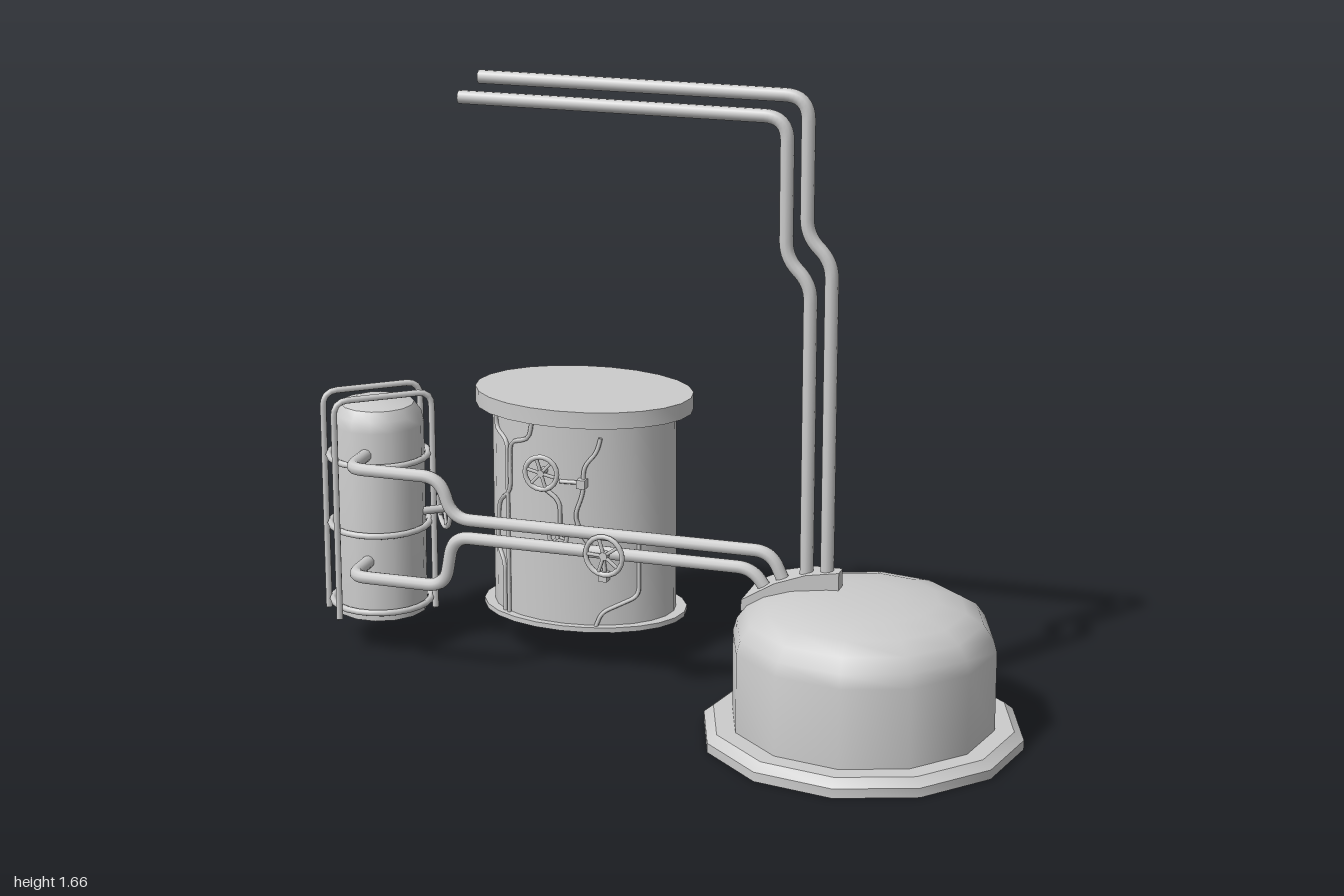
import * as THREE from 'three';
import { toCreasedNormals } from 'three/addons/utils/BufferGeometryUtils.js';

const grey = new THREE.MeshStandardMaterial({ color: 0xcccccc });
const greyThin = new THREE.MeshStandardMaterial({ color: 0xcccccc, side: THREE.DoubleSide });
const V = (p) => new THREE.Vector3(...p);

function mesh(name, geometry, parent, material = grey) {
  const m = new THREE.Mesh(geometry, material);
  m.name = name;
  parent.add(m);
  return m;
}

// Turned body from [radius, height] pairs listed bottom to top
function turned(name, profile, sides, parent, material) {
  const pts = profile.map(([r, y]) => new THREE.Vector2(r, y));
  return mesh(name, toCreasedNormals(new THREE.LatheGeometry(pts, sides), 0.62), parent, material);
}

// Capped tube along a polyline with rounded corners
function pipe(name, points, radius, bend, parent, segments = 120, sides = 10) {
  const p = points.map(V);
  const path = new THREE.CurvePath();
  let from = p[0];
  for (let i = 1; i < p.length - 1; i++) {
    const toPrev = p[i - 1].clone().sub(p[i]), toNext = p[i + 1].clone().sub(p[i]);
    const d = Math.min(bend, toPrev.length() * 0.45, toNext.length() * 0.45);
    const a = p[i].clone().add(toPrev.setLength(d));
    const b = p[i].clone().add(toNext.setLength(d));
    path.add(new THREE.LineCurve3(from, a));
    path.add(new THREE.QuadraticBezierCurve3(a, p[i], b));
    from = b;
  }
  path.add(new THREE.LineCurve3(from, p[p.length - 1]));
  const group = new THREE.Group();
  group.name = name;
  parent.add(group);
  mesh(name + 'Tube', new THREE.TubeGeometry(path, segments, radius, sides), group);
  for (const [end, next] of [[p[0], p[1]], [p[p.length - 1], p[p.length - 2]]]) {
    const cap = mesh(name + 'Cap', new THREE.CircleGeometry(radius, sides), group);
    cap.position.copy(end);
    cap.lookAt(end.clone().multiplyScalar(2).sub(next));
  }
  return group;
}

// Handwheel facing +z, with a hub and a stem behind it
function handwheel(name, radius, thick, spokes, stem, parent) {
  const wheel = new THREE.Group();
  wheel.name = name;
  parent.add(wheel);
  mesh('wheelRim', new THREE.TorusGeometry(radius, thick, 8, 20), wheel);
  for (let i = 0; i < spokes; i++) {
    const a = (i / spokes) * Math.PI * 2 + 0.3;
    const spoke = mesh('wheelSpoke', new THREE.CylinderGeometry(thick * 0.7, thick * 0.7, radius, 6), wheel);
    spoke.rotation.z = a;
    spoke.position.set(-Math.sin(a) * radius / 2, Math.cos(a) * radius / 2, 0);
  }
  const hub = mesh('wheelStem', new THREE.CylinderGeometry(radius * 0.22, radius * 0.22, stem, 10), wheel);
  hub.rotation.x = Math.PI / 2;
  hub.position.z = 0.006 - stem / 2;
  return wheel;
}

function buildDomeTank(root) {
  const tank = new THREE.Group();
  tank.name = 'domeTank';
  tank.position.set(0.583, 0, 0.105);
  tank.rotation.y = 0.07;
  root.add(tank);
  turned('baseFlange', [[0, 0], [0.415, 0], [0.415, 0.025], [0.39, 0.045], [0.33, 0.045]], 12, tank);
  turned('domeBody', [[0.34, 0.03], [0.34, 0.255], [0.33, 0.29], [0.305, 0.325], [0.26, 0.352],
    [0.19, 0.373], [0.1, 0.383], [0, 0.385]], 12, tank);

  // Wedge saddle where the pipes enter, narrowing toward the vertical pair
  const s = new THREE.Shape();
  s.moveTo(0.265, 0.31);
  s.lineTo(0.38, 0.35);
  s.lineTo(0.515, 0.37);
  s.lineTo(0.515, 0.43);
  s.lineTo(0.43, 0.418);
  s.lineTo(0.35, 0.39);
  s.lineTo(0.265, 0.34);
  const g = new THREE.ExtrudeGeometry(s, { depth: 2, bevelEnabled: false });
  const pos = g.attributes.position;
  for (let i = 0; i < pos.count; i++) {
    const t = (pos.getX(i) - 0.265) / 0.25;
    const half = THREE.MathUtils.lerp(0.077, 0.02, t), mid = THREE.MathUtils.lerp(0.054, 0.086, t);
    pos.setZ(i, mid + (pos.getZ(i) - 1) * half);
  }
  g.computeVertexNormals();
  mesh('pipeSaddle', g, root);
}

function buildOvalBarrel(root) {
  const barrel = new THREE.Group();
  barrel.name = 'ovalBarrel';
  root.add(barrel);
  const cx = -0.305, cz = -0.305;
  const oval = (name, rx, rz, y0, y1) => {
    const m = turned(name, [[0, y0], [1, y0], [1, y1], [0, y1]], 24, barrel);
    m.scale.set(rx, 1, rz);
    m.position.set(cx, 0, cz);
  };
  oval('barrelBody', 0.255, 0.185, 0.115, 0.69);
  oval('barrelLid', 0.302, 0.222, 0.685, 0.73);
  oval('barrelFoot', 0.285, 0.205, 0.108, 0.122);

  // Cables and fittings that hug the front of the barrel
  const surfaceZ = (x) => cz + 0.185 * Math.sqrt(Math.max(0, 1 - ((x - cx) / 0.255) ** 2));
  const cables = [
    [[-0.52, 0.69], [-0.52, 0.63], [-0.475, 0.61], [-0.475, 0.12]],
    [[-0.39, 0.69], [-0.4, 0.63], [-0.465, 0.61], [-0.465, 0.47], [-0.51, 0.43], [-0.52, 0.3], [-0.49, 0.26], [-0.49, 0.12]],
    [[-0.2, 0.65], [-0.21, 0.61], [-0.245, 0.57], [-0.245, 0.5], [-0.27, 0.43], [-0.24, 0.36], [-0.195, 0.32], [-0.19, 0.265]],
    [[-0.355, 0.5], [-0.31, 0.47], [-0.31, 0.375]],
    [[-0.31, 0.525], [-0.25, 0.525]],
    [[-0.11, 0.36], [-0.11, 0.2], [-0.2, 0.16], [-0.215, 0.12]],
  ];
  for (const c of cables) {
    pipe('cable', c.map(([x, y]) => [x, y, surfaceZ(x) + 0.004]), 0.006, 0.025, barrel, 40, 6);
  }
  for (const [x, y] of [[-0.247, 0.525], [-0.192, 0.265]]) {
    mesh('cableBox', new THREE.BoxGeometry(0.024, 0.024, 0.03), barrel).position.set(x, y, surfaceZ(x) + 0.008);
  }
  handwheel('barrelValve', 0.045, 0.007, 6, 0.04, barrel).position.set(-0.355, 0.55, surfaceZ(-0.355) + 0.03);
  handwheel('smallValve', 0.025, 0.006, 3, 0.03, barrel).position.set(-0.31, 0.375, surfaceZ(-0.31) + 0.022);
}

function buildGasCylinder(root) {
  const unit = new THREE.Group();
  unit.name = 'cagedCylinder';
  unit.position.set(-0.848, 0, -0.16);
  unit.rotation.y = 0.68;
  root.add(unit);
  turned('cylinderBody', [[0.125, 0.098], [0.125, 0.63], [0.118, 0.66], [0.1, 0.685], [0.06, 0.697], [0, 0.7]],
    14, unit, greyThin);
  for (const y of [0.125, 0.345, 0.54]) {
    const hoop = mesh('cageHoop', new THREE.TorusGeometry(0.135, 0.009, 8, 24), unit);
    hoop.rotation.x = Math.PI / 2;
    hoop.position.y = y;
  }
  for (const z of [-0.053, 0.053]) {
    pipe('cageBar', [[-0.137, 0.096, z], [-0.137, 0.714, z], [0.137, 0.714, z], [0.137, 0.096, z]],
      0.009, 0.04, unit, 90, 8);
  }
  const wheel = handwheel('cylinderValve', 0.052, 0.007, 5, 0.07, unit);
  wheel.rotation.y = Math.PI / 2;
  wheel.position.set(0.165, 0.38, 0.06);
}

function buildPipes(root) {
  const z = 0.08, r = 0.0175;
  // Tall pair rising from the dome and running out overhead
  pipe('tallPipeInner', [[-0.5, 1.588, z], [0.36, 1.588, z], [0.36, 1.235, z], [0.424, 1.17, z], [0.424, 0.38, z]],
    r, 0.06, root, 180);
  pipe('tallPipeOuter', [[-0.445, 1.643, z], [0.413, 1.643, z], [0.413, 1.295, z], [0.478, 1.23, z], [0.478, 0.38, z]],
    r, 0.06, root, 180);
  // Low pair linking the cylinder to the dome
  pipe('lowPipeUpper', [[-0.835, 0.57, -0.06], [-0.835, 0.57, z], [-0.575, 0.57, z], [-0.54, 0.46, z],
    [0.33, 0.46, z], [0.37, 0.37, z]], r, 0.05, root, 160);
  pipe('lowPipeLower', [[-0.835, 0.268, -0.06], [-0.835, 0.268, z], [-0.565, 0.268, z], [-0.54, 0.41, z],
    [0.28, 0.41, z], [0.33, 0.34, z]], r, 0.05, root, 160);
  const wheel = handwheel('pipeValve', 0.052, 0.007, 5, 0.04, root);
  wheel.position.set(-0.112, 0.41, 0.106);
  wheel.rotation.y = -0.1;
}

export function createModel() {
  const root = new THREE.Group();
  root.name = 'pipedTanks';
  buildDomeTank(root);
  buildOvalBarrel(root);
  buildGasCylinder(root);
  buildPipes(root);
  return root;
}
